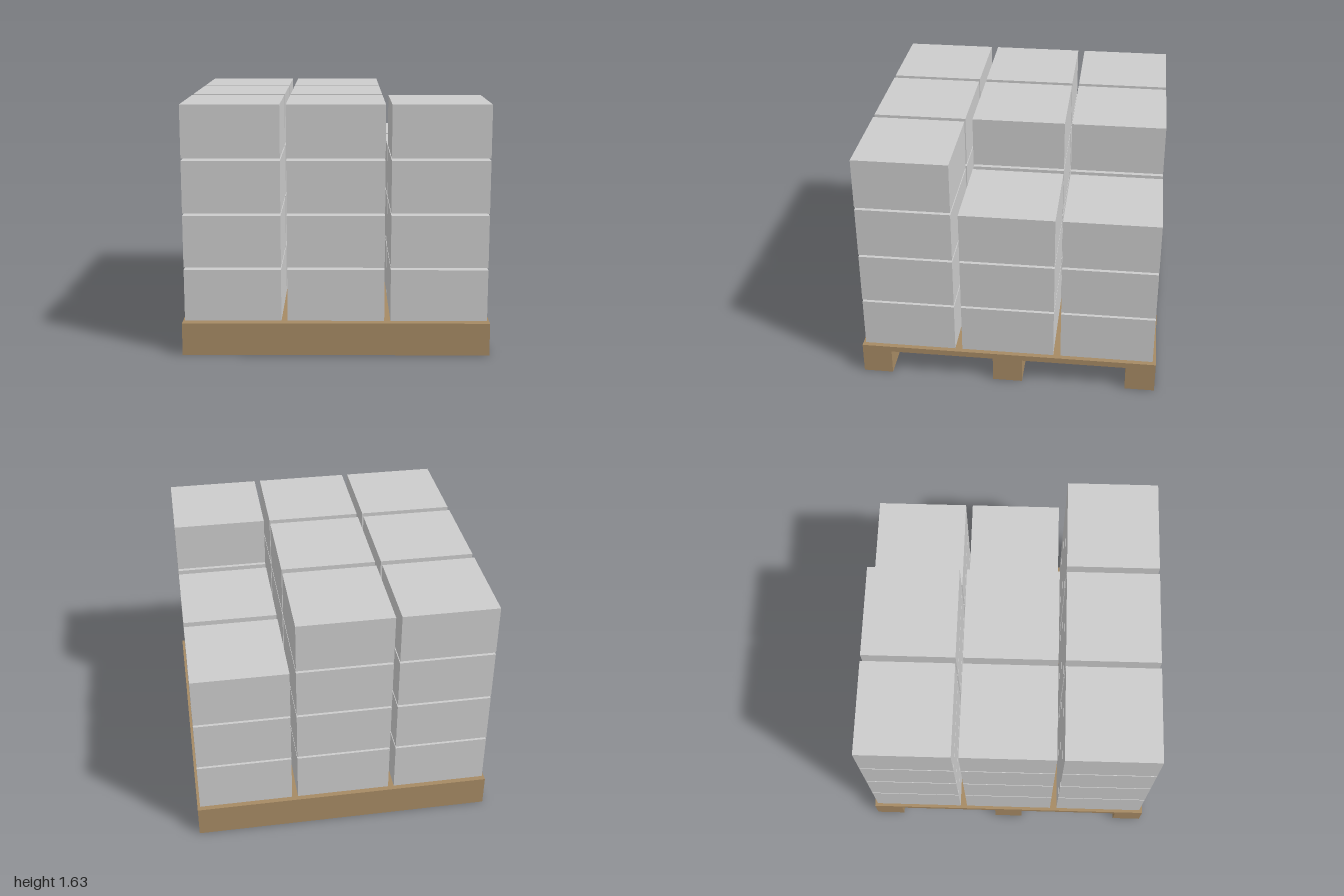
import * as THREE from 'three';

export function createModel() {
  const model = new THREE.Group();
  model.name = 'loadedPallet';
  const wood = new THREE.MeshStandardMaterial({ color: 0xa68a64, flatShading: true });
  const grey = new THREE.MeshStandardMaterial({ color: 0xcccccc, flatShading: true });

  // Pallet: side profile of a thin deck on three runners, extruded along x
  const deckTop = 0.215, deckBottom = 0.175;
  const profile = new THREE.Shape([
    [-1, 0], [-0.8, 0], [-0.8, deckBottom], [-0.1, deckBottom], [-0.1, 0], [0.1, 0],
    [0.1, deckBottom], [0.8, deckBottom], [0.8, 0], [1, 0], [1, deckTop], [-1, deckTop],
  ].map(([z, y]) => new THREE.Vector2(z, y)));
  const palletGeometry = new THREE.ExtrudeGeometry(profile, { depth: 2, bevelEnabled: false });
  palletGeometry.translate(0, 0, -1).rotateY(Math.PI / 2);
  const pallet = new THREE.Mesh(palletGeometry, wood);
  pallet.name = 'pallet';
  model.add(pallet);

  // Cartons: 3 x 3 stacks of four, two stacks on the left side one carton short
  const cartons = new THREE.Group();
  cartons.name = 'cartons';
  const cartonGeometry = new THREE.BoxGeometry(0.628, 0.34, 0.62);
  const spacing = 0.668, pitch = 0.356, firstCentre = 0.397;
  for (let column = -1; column <= 1; column++) {
    for (let row = -1; row <= 1; row++) {
      const layers = column === 1 && row < 1 ? 3 : 4;
      for (let layer = 0; layer < layers; layer++) {
        const carton = new THREE.Mesh(cartonGeometry, grey);
        carton.name = 'carton';
        carton.position.set(column * spacing, firstCentre + layer * pitch, row * spacing);
        cartons.add(carton);
      }
    }
  }
  model.add(cartons);
  return model;
}
